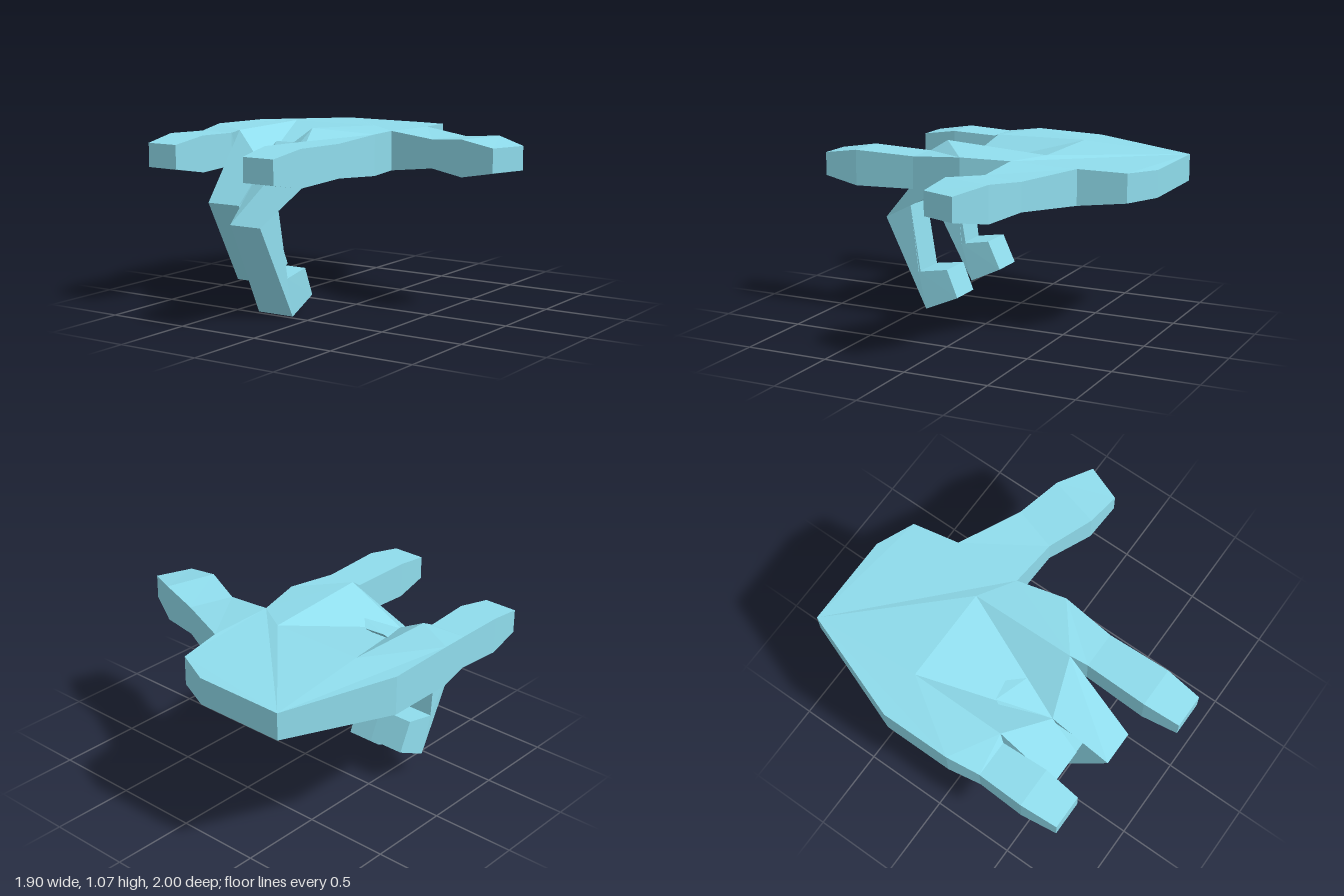
import * as THREE from 'three';
import { ConvexGeometry } from 'three/addons/geometries/ConvexGeometry.js';

const material = new THREE.MeshStandardMaterial({ color: 0x8fdcec, flatShading: true });

function makeMesh(name, positions) {
  const geometry = new THREE.BufferGeometry();
  geometry.setAttribute('position', new THREE.Float32BufferAttribute(positions.flat(), 3));
  geometry.computeVertexNormals();
  const mesh = new THREE.Mesh(geometry, material);
  mesh.name = name;
  return mesh;
}

// Skin through four-cornered rings: low left, low right, high right, high left,
// as seen from the fingertip. The tip is capped, the root is open.
function loft(name, rings) {
  const tris = [];
  for (let i = 0; i < rings.length - 1; i++) {
    for (let j = 0; j < 4; j++) {
      const k = (j + 1) % 4;
      const [a, b, c, d] = [rings[i][j], rings[i][k], rings[i + 1][k], rings[i + 1][j]];
      tris.push(a, b, c, a, c, d);
    }
  }
  const [a, b, c, d] = rings.at(-1);
  tris.push(a, b, c, a, c, d);
  return makeMesh(name, tris);
}

// Upright section between two plan points
const upright = (xl, zl, xr, zr, low, high) =>
  [[xl, low, zl], [xr, low, zr], [xr, high, zr], [xl, high, zl]];

// Section of a curled finger: inner and outer edge given as (y, z)
const curled = (xl, xr, [yi, zi], [yo, zo]) =>
  [[xl, yi, zi], [xr, yi, zi], [xr, yo, zo], [xl, yo, zo]];

// Flat-ish polygon filled so that every triangle faces up or down
function fill(points, up) {
  const plan = points.map(p => new THREE.Vector2(p[0], p[2]));
  if (THREE.ShapeUtils.isClockWise(plan)) {
    plan.reverse();
    points = [...points].reverse();
  }
  return THREE.ShapeUtils.triangulateShape(plan, []).flatMap(([i, j, k]) => {
    const [a, b, c] = [points[i], points[j], points[k]];
    const ny = (b[2] - a[2]) * (c[0] - a[0]) - (b[0] - a[0]) * (c[2] - a[2]);
    return (ny > 0) === up ? [a, b, c] : [a, c, b];
  });
}

export function createModel() {
  const hand = new THREE.Group();
  hand.name = 'hand';

  // Palm rim from little finger round the wrist to index finger: x, z, low, high
  const rim = [
    [-0.95, 0.08, 0.79, 1.03], [-0.95, -0.34, 0.79, 1.02],
    [-0.71, -1, 0.83, 0.99], [-0.16, -1, 0.83, 0.99], [0.06, -0.9, 0.83, 1],
    [0.11, -0.62, 0.8, 1.01], [0.11, -0.21, 0.785, 1.02], [0.18, 0.08, 0.79, 1.03],
  ];
  const top = rim.map(([x, z, , high]) => [x, high, z]);
  const bottom = rim.map(([x, z, low]) => [x, low, z]);

  // Knuckle corners
  const indexKnuckle = [-0.1, 1.07, 0.3];
  const littleKnuckle = [-0.67, 1.02, 0.24];
  const valley = [-0.39, 0.84, 0.39];
  const backs = [[-0.1, 1.03, -0.34], [-0.39, 1.03, -0.34], [-0.67, 1.03, -0.34]];
  const underIndex = [-0.1, 0.79, 0.28];
  const underMiddle = [-0.39, 0.79, 0.22];
  const underLittle = [-0.67, 0.79, 0.23];

  const palm = [
    ...fill([...top, indexKnuckle, ...backs, littleKnuckle], true),
    ...fill([...bottom, underIndex, underMiddle, underLittle], false),
    // Sunken tops of the two curled fingers
    ...fill([backs[0], backs[1], valley], true),
    ...fill([backs[0], valley, indexKnuckle], true),
    ...fill([backs[1], backs[2], valley], true),
    ...fill([backs[2], littleKnuckle, valley], true),
  ];
  for (let i = 0; i < rim.length - 1; i++) {
    if (i === 5) continue; // thumb root
    palm.push(top[i], top[i + 1], bottom[i + 1], top[i], bottom[i + 1], bottom[i]);
  }
  hand.add(makeMesh('palm', palm));

  // Straight fingers and thumb
  hand.add(loft('indexFinger', [
    [underIndex, bottom[7], top[7], indexKnuckle],
    upright(-0.07, 0.4, 0.15, 0.4, 0.81, 1.005),
    upright(-0.08, 0.78, 0.16, 0.78, 0.8, 1.015),
    upright(-0.06, 1, 0.14, 1, 0.84, 0.98),
  ]));
  hand.add(loft('littleFinger', [
    [bottom[0], underLittle, littleKnuckle, top[0]],
    upright(-0.92, 0.28, -0.7, 0.28, 0.81, 1.005),
    upright(-0.93, 0.56, -0.69, 0.56, 0.8, 1.015),
    upright(-0.91, 0.78, -0.71, 0.78, 0.84, 0.98),
  ]));
  hand.add(loft('thumb', [
    [bottom[6], bottom[5], top[5], top[6]],
    upright(0.4, -0.19, 0.48, -0.45, 0.82, 0.99),
    upright(0.66, -0.08, 0.74, -0.38, 0.8, 1.015),
    upright(0.87, -0.06, 0.95, -0.27, 0.84, 0.98),
  ]));

  // Curled fingers
  hand.add(loft('middleFinger', [
    [underMiddle, underIndex, indexKnuckle, valley],
    curled(-0.35, -0.14, [0.64, 0.58], [0.55, 0.75]),
    curled(-0.365, -0.125, [0.23, 0.52], [0, 0.47]),
    curled(-0.355, -0.135, [0.26, 0.33], [0.09, 0.26]),
  ]));
  hand.add(loft('ringFinger', [
    [underLittle, underMiddle, valley, littleKnuckle],
    curled(-0.64, -0.42, [0.73, 0.41], [0.63, 0.58]),
    curled(-0.65, -0.41, [0.36, 0.37], [0.13, 0.3]),
    curled(-0.64, -0.42, [0.39, 0.19], [0.22, 0.11]),
  ]));

  // Small ridge between the curled fingers
  const ridge = [[-0.52, 0.92, 0.12], [-0.51, 0.95, 0.09], [-0.39, 0.955, 0.07],
    [-0.31, 0.96, 0.16], [-0.39, 0.87, 0.18], [-0.39, 0.84, 0.38]];
  const nub = new THREE.Mesh(
    new ConvexGeometry(ridge.map(p => new THREE.Vector3(...p))), material);
  nub.name = 'knuckleRidge';
  hand.add(nub);

  return hand;
}
